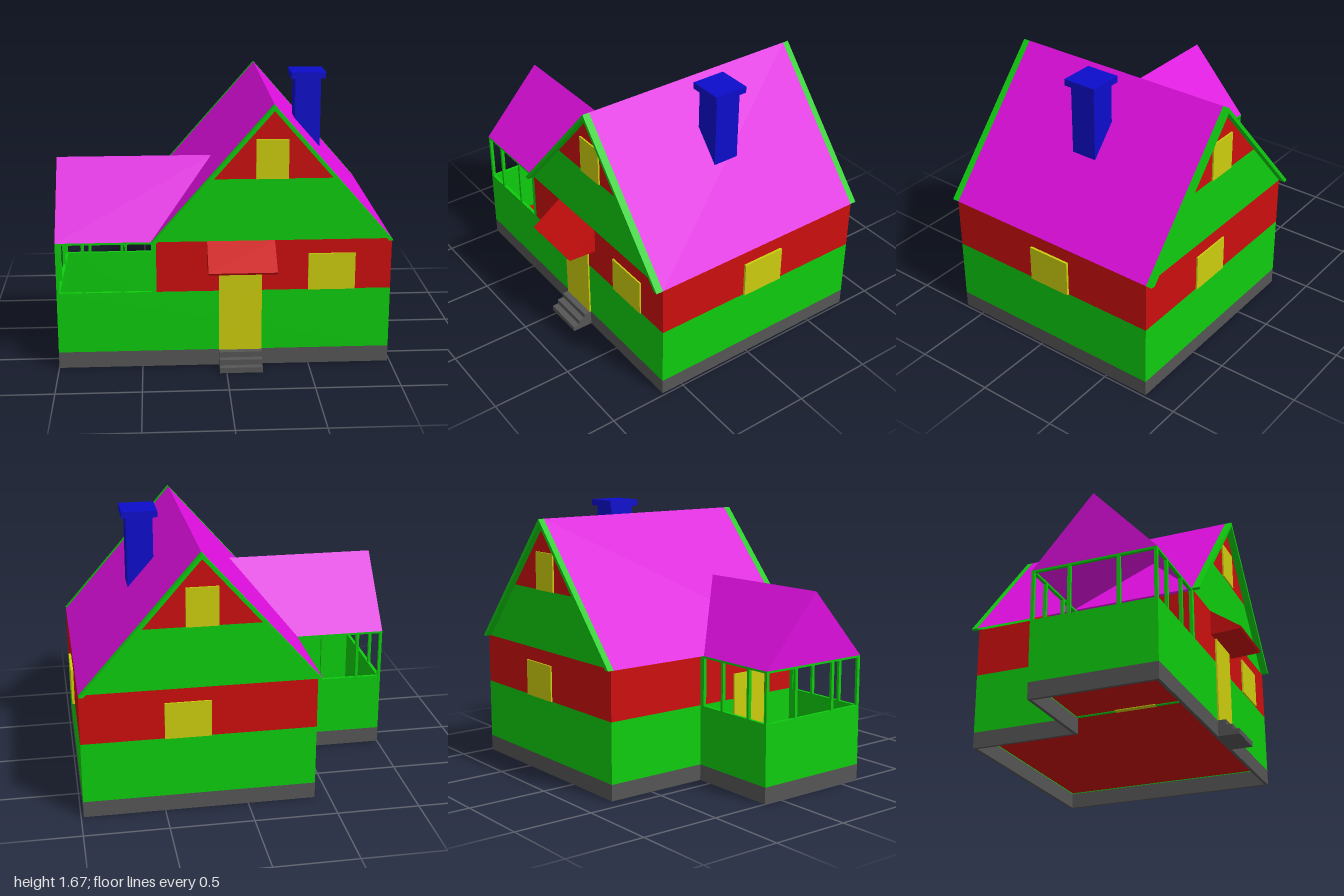
import * as THREE from 'three';

const mat = (color) => new THREE.MeshStandardMaterial({ color, side: THREE.DoubleSide, flatShading: true });

export function createModel() {
  const house = new THREE.Group();
  house.name = 'house';
  const stone = mat(0x555555), green = mat(0x0ecc0e), red = mat(0xcc0e0e);
  const yellow = mat(0xcccc0e), magenta = mat(0xdd0edd), blue = mat(0x0d0dcc);
  const T = 0.02; // wall thickness
  const ridge = { x: 0.275, y: 1.6 }, eave = 0.785, slope = 1.146;

  const add = (name, geo, material) => {
    const m = new THREE.Mesh(geo, material);
    m.name = name;
    house.add(m);
    return m;
  };
  // Box given by its extents
  const box = (name, material, x0, x1, y0, y1, z0, z1) =>
    add(name, new THREE.BoxGeometry(x1 - x0, y1 - y0, z1 - z0), material)
      .position.set((x0 + x1) / 2, (y0 + y1) / 2, (z0 + z1) / 2);
  const toShape = (pts) => new THREE.Shape(pts.map(([a, b]) => new THREE.Vector2(a, b)));
  const extrude = (shape, depth) => new THREE.ExtrudeGeometry(shape, { depth, bevelEnabled: false });
  // Upright ring wall on a plan of [x, z] points
  const ring = (name, material, outer, inner, y0, y1) => {
    const flip = (pts) => pts.map(([x, z]) => [x, -z]);
    const s = toShape(flip(outer));
    if (inner) s.holes.push(toShape(flip(inner)));
    add(name, extrude(s, y1 - y0).rotateX(-Math.PI / 2).translate(0, y0, 0), material);
  };
  // Flat sheet from corner points, as a fan
  const sheet = (name, material, pts) => {
    const g = new THREE.BufferGeometry();
    g.setAttribute('position', new THREE.Float32BufferAttribute(pts.flat(), 3));
    const index = [];
    for (let i = 1; i < pts.length - 1; i++) index.push(0, i, i + 1);
    g.setIndex(index);
    g.computeVertexNormals();
    add(name, g, material);
  };
  // Upright profile in x and y, pushed along z
  const panel = (name, material, pts, z0, z1) =>
    add(name, extrude(toShape(pts), z1 - z0).translate(0, 0, z0), material);

  // Plans: L-shaped footprint of house plus porch, and the house alone
  const plan = (t) => [[-1 + t, 0.64 - t], [0.985 - t, 0.64 - t], [0.985 - t, -0.79 + t],
    [-0.41 + t, -0.79 + t], [-0.41 + t, -0.125 + t], [-1 + t, -0.125 + t]];
  const hall = (t) => [[-0.41 + t, 0.64 - t], [0.985 - t, 0.64 - t],
    [0.985 - t, -0.79 + t], [-0.41 + t, -0.79 + t]];
  ring('foundation', stone, plan(0), plan(T), 0, 0.1);
  ring('lowerWall', green, plan(0), plan(T), 0.1, 0.475);
  ring('upperWall', red, hall(0), hall(T), 0.475, eave);
  ring('floor', red, plan(T), null, 0.105, 0.115);
  box('partitionFront', green, -0.41, -0.41 + T, 0.1, 0.475, 0.39, 0.62);
  box('partitionBack', green, -0.41, -0.41 + T, 0.1, 0.475, -0.125, 0.14);

  // Gable walls, roof trim and gable windows at both ends
  const half = (y) => (ridge.y - y) / slope - 0.015;
  for (const [side, wall, trim, pane] of [
    ['front', 0.62, 0.64, 0.64], ['back', -0.79, -0.83, -0.8]]) {
    const l = (y) => [ridge.x - half(y), y], r = (y) => [ridge.x + half(y), y];
    panel(side + 'GableLower', green, [l(eave), r(eave), r(1.16), l(1.16)], wall, wall + T);
    panel(side + 'GableUpper', red, [l(1.16), r(1.16), [ridge.x, 1.58]], wall, wall + T);
    panel(side + 'RoofTrim', green, [[-0.44, eave], [-0.41, eave], [ridge.x, 1.567],
      [0.957, eave], [0.985, eave], [ridge.x, ridge.y]], trim, trim + (side === 'front' ? 0.045 : 0.04));
    box(side + 'GableWindow', yellow, 0.175, 0.365, 1.16, 1.395, pane, pane + 0.01);
  }

  // Main roof
  for (const [name, x] of [['mainRoofLeft', 0.985], ['mainRoofRight', -0.44]])
    sheet(name, magenta, [[x, eave, 0.64], [x, eave, -0.79],
      [ridge.x, ridge.y, -0.79], [ridge.x, ridge.y, 0.64]]);

  // Porch roof running into the main roof
  const top = 1.21, mid = 0.255, inner = ridge.x - (ridge.y - top) / slope;
  for (const [name, z] of [['porchRoofFront', 0.64], ['porchRoofBack', -0.125]])
    sheet(name, magenta, [[-1, eave, z], [-0.436, eave, z], [inner, top, mid], [-1, top, mid]]);
  sheet('porchGable', magenta, [[-1, eave, -0.125], [-1, eave, 0.64], [-1, top, mid]]);

  // Porch posts and top beams
  for (const z of [0.62, -0.125]) {
    for (const [x0, x1] of [[-1, -0.982], [-0.848, -0.83], [-0.617, -0.599], [-0.44, -0.41]])
      box('porchPost', green, x0, x1, 0.475, eave, z, z + T);
    box('porchBeam', green, -1, -0.41, 0.772, eave, z, z + T);
  }
  for (const z of [0.1, 0.4]) box('porchSidePost', green, -1, -0.982, 0.475, eave, z, z + T);
  box('porchSideBeam', green, -1, -0.982, 0.772, eave, -0.125, 0.64);

  // Doors and windows
  box('frontDoor', yellow, -0.04, 0.215, 0.1, 0.635, 0.62, 0.65);
  box('porchDoor', yellow, -0.42, -0.385, 0.1, 0.635, 0.14, 0.39);
  box('frontWindow', yellow, 0.49, 0.77, 0.475, 0.7, 0.63, 0.65);
  box('backWindow', yellow, 0.22, 0.495, 0.475, 0.7, -0.8, -0.78);
  box('sideWindow', yellow, 0.975, 1, 0.475, 0.7, -0.228, 0.05);

  // Canopy over the front door
  add('doorCanopy', extrude(toShape([[-0.64, 0.785], [-0.83, 0.65], [-0.822, 0.637], [-0.64, 0.627]]), 0.4)
    .rotateY(Math.PI / 2).translate(-0.11, 0, 0), red);

  // Front steps
  [0.77, 0.73, 0.69].forEach((z, i) =>
    box('step', stone, -0.04, 0.215, i / 30, (i + 1) / 30, 0.64, z));

  // Chimney, its foot cut to the roof slope
  panel('chimney', blue, [[0.47, 1.376], [0.63, 1.193], [0.63, 1.63], [0.47, 1.63]], -0.155, 0.01);
  box('chimneyCap', blue, 0.443, 0.657, 1.63, 1.67, -0.18, 0.035);

  return house;
}
